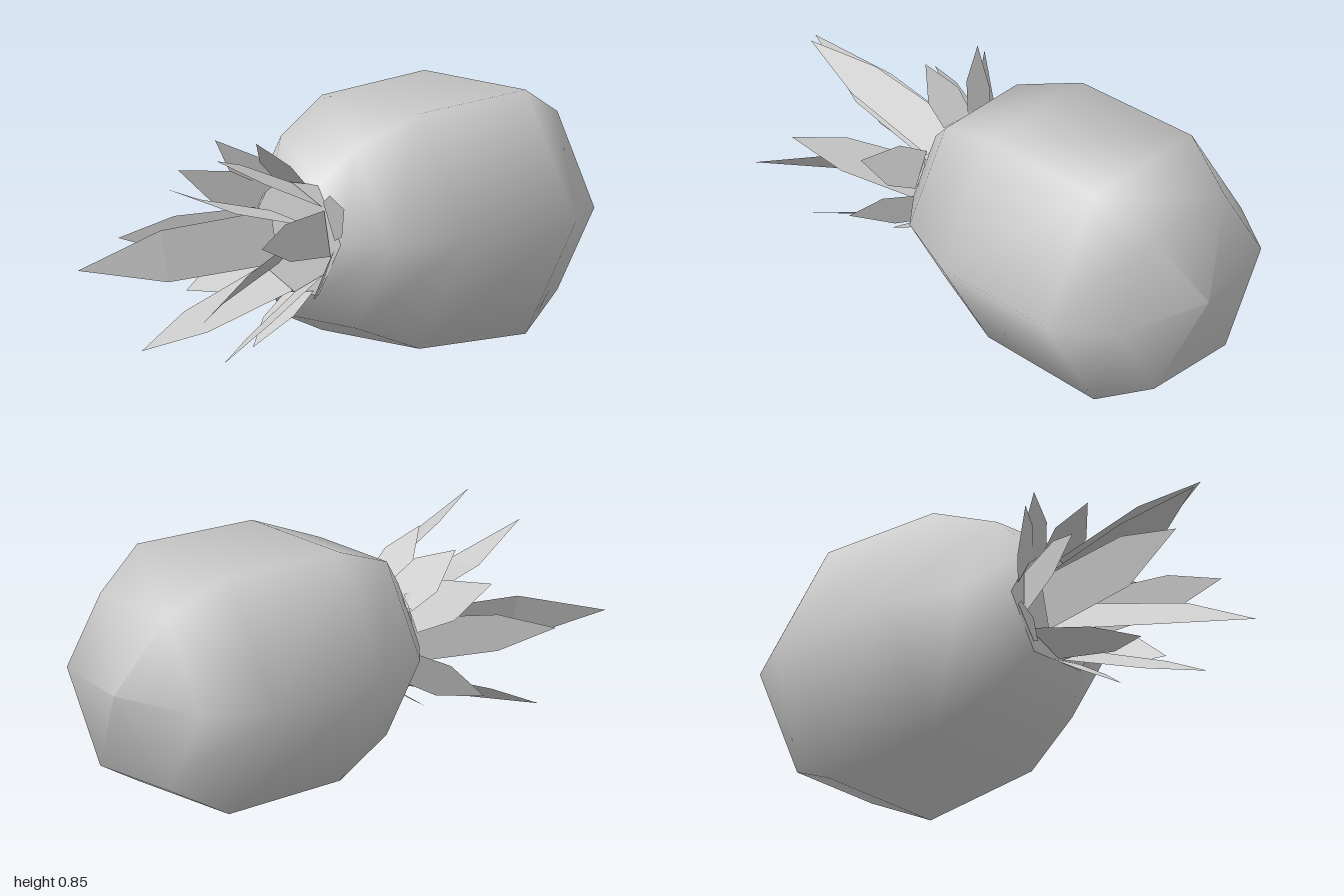
import * as THREE from 'three';

const AXIS_Y = 0.43; // height of the fruit's lying axis
const NECK_Z = 0.18;

// Kite-shaped leaf: base edge, two shoulders and a pointed tip, folded at the shoulders
function leafGeometry(tip, baseA, baseB, fraction, width, sag) {
  const a = new THREE.Vector3(...baseA), b = new THREE.Vector3(...baseB);
  const t = new THREE.Vector3(...tip);
  const middle = a.clone().add(b).multiplyScalar(0.5).lerp(t, fraction);
  const outward = new THREE.Vector3(t.x, t.y - AXIS_Y, 0).normalize();
  middle.addScaledVector(outward, -sag);
  const half = b.clone().sub(a).normalize().multiplyScalar(width / 2);
  const s1 = middle.clone().sub(half), s2 = middle.clone().add(half);
  const corners = [a, b, s2, a, s2, s1, s1, s2, t];
  const geometry = new THREE.BufferGeometry().setFromPoints(corners);
  geometry.computeVertexNormals();
  return geometry;
}

// Base edge on a ring around the axis, facing the given angle
function ringBase(angle, radius, width, z) {
  const c = Math.cos(angle), s = Math.sin(angle), h = width / 2;
  return [-1, 1].map(k => [c * radius - k * s * h, AXIS_Y + s * radius + k * c * h, z]);
}

export function createModel() {
  const model = new THREE.Group();
  model.name = 'pineapple';
  const skin = new THREE.MeshStandardMaterial({ color: 0xcccccc });
  const leafMaterial = new THREE.MeshStandardMaterial({
    color: 0xcccccc, flatShading: true, side: THREE.DoubleSide,
  });

  // Six-sided fruit, smooth shaded, lying along z
  const profile = [[0, -1], [0.36, -0.91], [0.493, -0.69], [0.475, -0.185], [0.36, 0.07], [0.222, NECK_Z]]
    .map(([r, z]) => new THREE.Vector2(r, z));
  const bodyGeometry = new THREE.LatheGeometry(profile, 6, Math.PI / 2);
  bodyGeometry.rotateX(Math.PI / 2);
  const body = new THREE.Mesh(bodyGeometry, skin);
  body.name = 'fruitBody';
  body.position.y = AXIS_Y;
  model.add(body);

  // Flat end under the crown
  const cap = new THREE.Mesh(new THREE.CircleGeometry(0.222, 6), skin);
  cap.name = 'neckCap';
  cap.position.set(0, AXIS_Y, NECK_Z);
  model.add(cap);

  const crown = new THREE.Group();
  crown.name = 'crown';
  model.add(crown);
  const addLeaf = (name, ...args) => {
    const leaf = new THREE.Mesh(leafGeometry(...args), leafMaterial);
    leaf.name = name;
    crown.add(leaf);
  };

  // Three long heart leaves rising from a triangle
  const heart = [[0.1, 0.48, 0.2], [-0.1, 0.51, 0.2], [-0.06, 0.33, 0.2]];
  const heartTips = [[0.02, 0.69, 0.83], [-0.235, 0.39, 1], [0.25, 0.24, 0.9]];
  heartTips.forEach((tip, i) =>
    addLeaf('innerLeaf', tip, heart[i], heart[(i + 1) % 3], 0.58, 0.18, 0.02));

  // Five middle and seven short outer leaves
  const rings = [
    { name: 'middleLeaf', radius: 0.17, base: 0.16, fraction: 0.6, width: 0.13, sag: 0,
      tips: [[0.16, 0.79, 0.72], [0.32, 0.495, 0.66], [-0.39, 0.435, 0.65],
        [-0.165, 0.085, 0.76], [0.195, 0.085, 0.72]] },
    { name: 'outerLeaf', radius: 0.19, base: 0.14, fraction: 0.45, width: 0.15, sag: 0,
      tips: [[0.36, 0.59, 0.3], [-0.02, 0.775, 0.35], [-0.25, 0.75, 0.32], [-0.36, 0.64, 0.39],
        [-0.32, 0.225, 0.39], [0.055, 0.085, 0.44], [0.31, 0.285, 0.4]] },
  ];
  for (const ring of rings) {
    for (const tip of ring.tips) {
      const angle = Math.atan2(tip[1] - AXIS_Y, tip[0]);
      const [a, b] = ringBase(angle, ring.radius, ring.base, NECK_Z + 0.01);
      addLeaf(ring.name, tip, a, b, ring.fraction, ring.width, ring.sag);
    }
  }
  return model;
}
